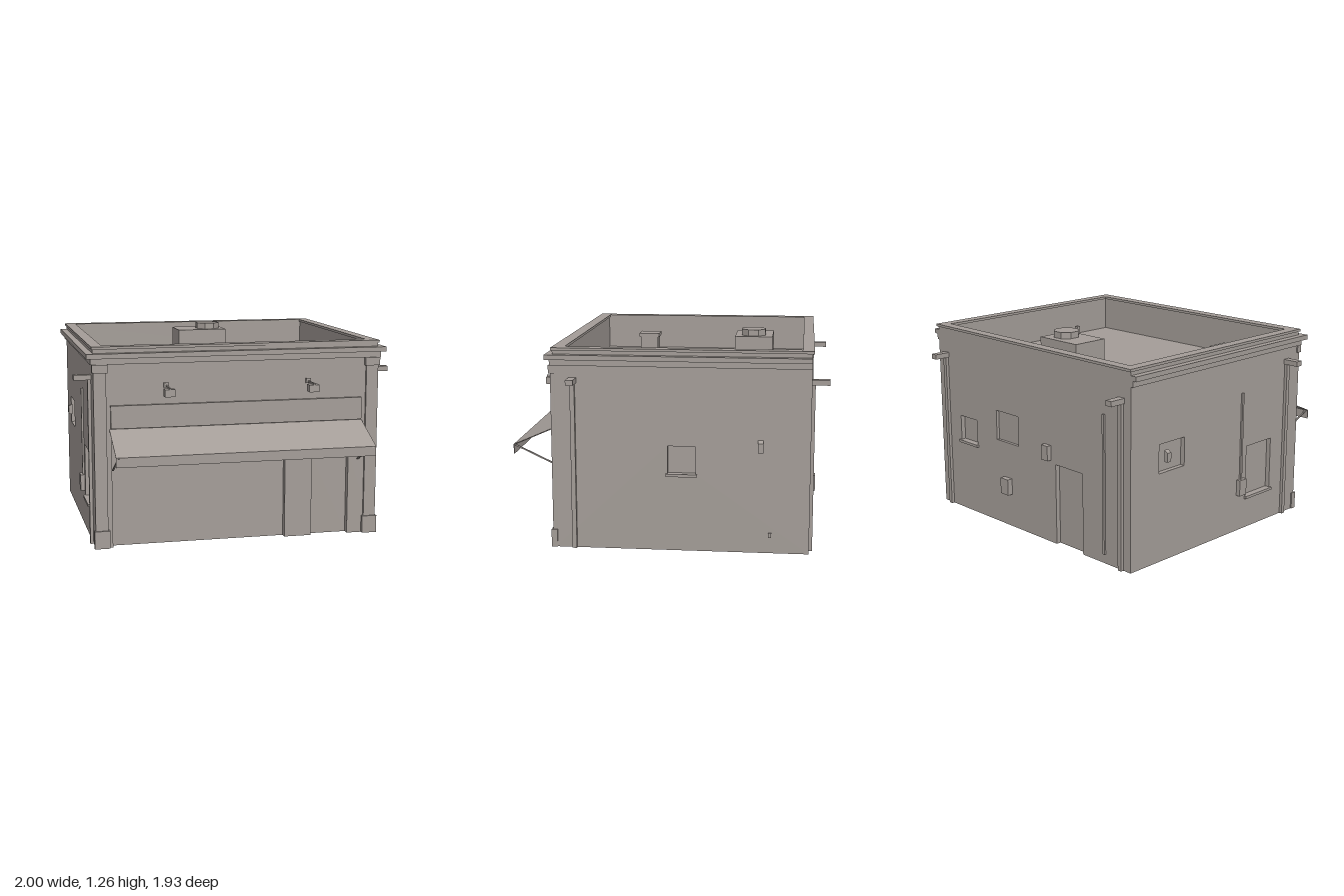
import * as THREE from 'three';

const stone = new THREE.MeshStandardMaterial({ color: 0xa49d98, side: THREE.DoubleSide });
stone.name = 'warm grey';

const add = (parent, name, geometry) => {
  const mesh = new THREE.Mesh(geometry, stone);
  mesh.name = name;
  parent.add(mesh);
  return mesh;
};

// Box given by its limits on each axis
const box = (parent, name, x0, x1, y0, y1, z0, z1) => {
  const mesh = add(parent, name, new THREE.BoxGeometry(x1 - x0, y1 - y0, z1 - z0));
  mesh.position.set((x0 + x1) / 2, (y0 + y1) / 2, (z0 + z1) / 2);
  return mesh;
};

// Drops faces of a box: 0 +x, 1 -x, 2 +y, 3 -y, 4 +z, 5 -z
const dropFaces = (mesh, faces) => {
  const index = Array.from(mesh.geometry.index.array);
  mesh.geometry.setIndex(index.filter((_, i) => !faces.includes(Math.floor(i / 6))));
  return mesh;
};

const rect = (C, x0, x1, y0, y1) =>
  new C([[x0, y0], [x1, y0], [x1, y1], [x0, y1]].map(p => new THREE.Vector2(...p)));

// Horizontal slab with a rectangular hole; limits are [x0, x1, z0, z1]
const ring = (parent, name, outer, inner, y0, y1) => {
  const shape = rect(THREE.Shape, outer[0], outer[1], -outer[3], -outer[2]);
  shape.holes.push(rect(THREE.Path, inner[0], inner[1], -inner[3], -inner[2]));
  const g = y1 > y0
    ? new THREE.ExtrudeGeometry(shape, { depth: y1 - y0, bevelEnabled: false })
    : new THREE.ShapeGeometry(shape);
  add(parent, name, g.rotateX(-Math.PI / 2)).position.y = y0;
};

const W = 0.897, F = 0.692, B = -0.857, TOP = 1.22, ROOF = 1.0;

// Wall sheet facing local +z; openings are [name, u0, u1, v0, v1, depth, hasSill]
function makeWall(parent, name, u0, u1, position, angle, openings) {
  const wall = new THREE.Group();
  wall.name = name;
  wall.position.set(...position);
  wall.rotation.y = angle;
  parent.add(wall);

  const shape = new THREE.Shape();
  shape.moveTo(u0, 0);
  for (const [, a, b, v0, v1] of openings) {
    if (v0 === 0) shape.lineTo(a, 0).lineTo(a, v1).lineTo(b, v1).lineTo(b, 0);
    else shape.holes.push(rect(THREE.Path, a, b, v0, v1));
  }
  shape.lineTo(u1, 0).lineTo(u1, TOP).lineTo(u0, TOP);
  add(wall, name + 'Sheet', new THREE.ShapeGeometry(shape));

  for (const [label, a, b, v0, v1, depth, sill] of openings) {
    dropFaces(box(wall, label, a, b, v0, v1, -depth, 0), v0 === 0 ? [3, 4] : [4]);
    if (sill) box(wall, label + 'Sill', a - 0.01, b + 0.01, v0 - 0.017, v0, -0.01, 0.015);
  }
  return wall;
}

// Rain pipe with a projecting outlet at its top
function downpipe(wall, u) {
  box(wall, 'downpipe', u - 0.014, u + 0.014, 0, 1.025, 0, 0.02);
  box(wall, 'scupper', u - 0.023, u + 0.023, 1.025, 1.057, 0, 0.105);
}

// Small wall lamp with a sloping top
function wallLamp(wall, u) {
  const lamp = box(wall, 'wallLamp', u - 0.016, u + 0.016, 0.625, 0.697, 0, 0.026);
  const p = lamp.geometry.attributes.position;
  for (let i = 0; i < p.count; i++)
    if (p.getY(i) > 0 && p.getZ(i) > 0) p.setY(i, p.getY(i) - 0.015);
  lamp.geometry.computeVertexNormals();
}

export function createModel() {
  const model = new THREE.Group();
  model.name = 'shopBuilding';

  // Walls with recessed doors and windows
  const front = makeWall(model, 'frontWall', -W, W, [0, 0, F], 0, [
    ['shopWindow', -0.79, 0.3, 0, 0.73, 0.04],
    ['frontDoor', 0.475, 0.715, 0, 0.525, 0.04],
  ]);
  const right = makeWall(model, 'leftWall', -F, -B, [W, 0, 0], Math.PI / 2, [
    ['sideWindow', 0, 0.17, 0.48, 0.65, 0.03, true],
  ]);
  const back = makeWall(model, 'backWall', -W, W, [0, 0, B], Math.PI, [
    ['backDoor', 0.25, 0.49, 0, 0.52, 0.03],
    ['backWindow', -0.69, -0.52, 0.48, 0.645, 0.03, true],
    ['backPanel', -0.315, -0.1, 0.56, 0.755, 0.02],
  ]);
  const left = makeWall(model, 'rightWall', B, F, [-W, 0, 0], -Math.PI / 2, [
    ['smallWindow', -0.62, -0.4, 0.56, 0.74, 0.03],
    ['tallWindow', 0.19, 0.435, 0.215, 0.55, 0.03, true],
  ]);

  // Side and back fittings
  downpipe(right, -0.572);
  downpipe(left, 0.572);
  downpipe(back, 0.824);
  downpipe(back, -0.818);
  wallLamp(right, 0.56);
  wallLamp(left, -0.56);
  box(right, 'ventOutlet', 0.612, 0.63, 0.1, 0.128, 0, 0.012);
  box(left, 'meterBox', 0.1, 0.165, 0.24, 0.345, 0, 0.028);
  box(left, 'conduit', 0.125, 0.14, 0.345, 0.91, 0, 0.012);
  box(back, 'utilityBox', 0.15, 0.208, 0.54, 0.635, 0, 0.03);
  box(back, 'meterBox', -0.248, -0.175, 0.22, 0.325, 0, 0.036);
  box(back, 'conduit', 0.672, 0.688, 0.06, 0.93, 0, 0.012);

  // Front pilasters
  for (const s of [-1, 1]) {
    const strip = (name, a, b, y0, y1, d) =>
      box(front, name, Math.min(s * a, s * b), Math.max(s * a, s * b), y0, y1, -0.012, d);
    strip('pilasterShaft', 0.82, W, 0.11, 1.08, 0.015);
    strip('pilasterBase', 0.81, 0.905, 0, 0.11, 0.025);
    strip('pilasterCapital', 0.81, 0.905, 1.08, 1.13, 0.025);
  }

  // Sign board and sign lamps
  box(front, 'signBoard', -0.795, 0.79, 0.74, 0.88, 0, 0.02);
  for (const x of [-0.453, 0.443]) {
    box(front, 'signLampMount', x - 0.016, x + 0.016, 0.98, 1.01, 0, 0.012);
    box(front, 'signLampArm', x - 0.005, x + 0.005, 0.985, 0.995, 0, 0.134);
    box(front, 'signLampHead', x - 0.032, x + 0.032, 0.94, 0.985, 0.078, 0.134);
  }

  // Awning: sloping sheet, valance and struts
  const rise = 0.12, reach = 0.275, slope = Math.atan2(rise, reach);
  const sheet = add(front, 'awningSheet', new THREE.BoxGeometry(1.6, 0.005, Math.hypot(rise, reach)));
  sheet.position.set(-0.003, 0.673, reach / 2);
  sheet.rotation.x = slope;
  box(front, 'awningValance', -0.803, 0.797, 0.556, 0.613, reach - 0.005, reach);
  for (const x of [-0.785, 0.778]) {
    const strut = add(front, 'awningStrut', new THREE.BoxGeometry(0.01, 0.008, Math.hypot(0.13, reach)));
    strut.position.set(x, 0.548, reach / 2);
    strut.rotation.x = -Math.atan2(0.13, reach);
  }

  // Cornice bands along the front and both sides
  for (const [d, y0, y1] of [[0.016, 1.13, 1.167], [0.042, 1.167, 1.197]]) {
    box(model, 'frontCornice', -W - d, W + d, y0, y1, F - 0.01, F + d);
    for (const s of [-1, 1])
      box(model, 'sideCornice', s > 0 ? W - 0.01 : -W - d, s > 0 ? W + d : 0.01 - W, y0, y1, B, F - 0.01);
  }

  // Parapet, coping and roof deck
  const inner = [-0.845, 0.845, -0.81, 0.635];
  const curb = [-0.18, 0.176, -0.612, -0.343];
  ring(model, 'parapet', [-0.89, 0.89, -0.85, 0.685], inner, ROOF, TOP);
  ring(model, 'coping', [-0.905, 0.905, -0.868, 0.7], [-0.836, 0.836, -0.8, 0.626], TOP, 1.236);
  ring(model, 'roofDeck', [-0.89, 0.89, -0.85, 0.685], curb, ROOF, ROOF);

  // Air handling unit standing in an open curb, with an eight sided fan cap
  dropFaces(box(model, 'unitCurb', curb[0], curb[1], ROOF, 1.03, curb[2], curb[3]), [2, 3]);
  box(model, 'airUnit', -0.168, 0.164, ROOF, 1.22, -0.6, -0.357);
  const fan = new THREE.CylinderGeometry(0.083, 0.083, 0.04, 8).rotateY(Math.PI / 8).toNonIndexed();
  fan.computeVertexNormals();
  add(model, 'fanCap', fan).position.set(0.057, 1.24, -0.475);

  // Vent pipe and roof hatch
  box(model, 'ventBase', 0.505, 0.56, ROOF, 1.015, 0.03, 0.085);
  box(model, 'ventPipe', 0.52, 0.544, 1.015, 1.14, 0.045, 0.07);
  box(model, 'hatchBody', -0.67, -0.55, ROOF, 1.115, 0.238, 0.358);
  box(model, 'hatchLid', -0.68, -0.54, 1.115, 1.14, 0.227, 0.369);

  return model;
}
